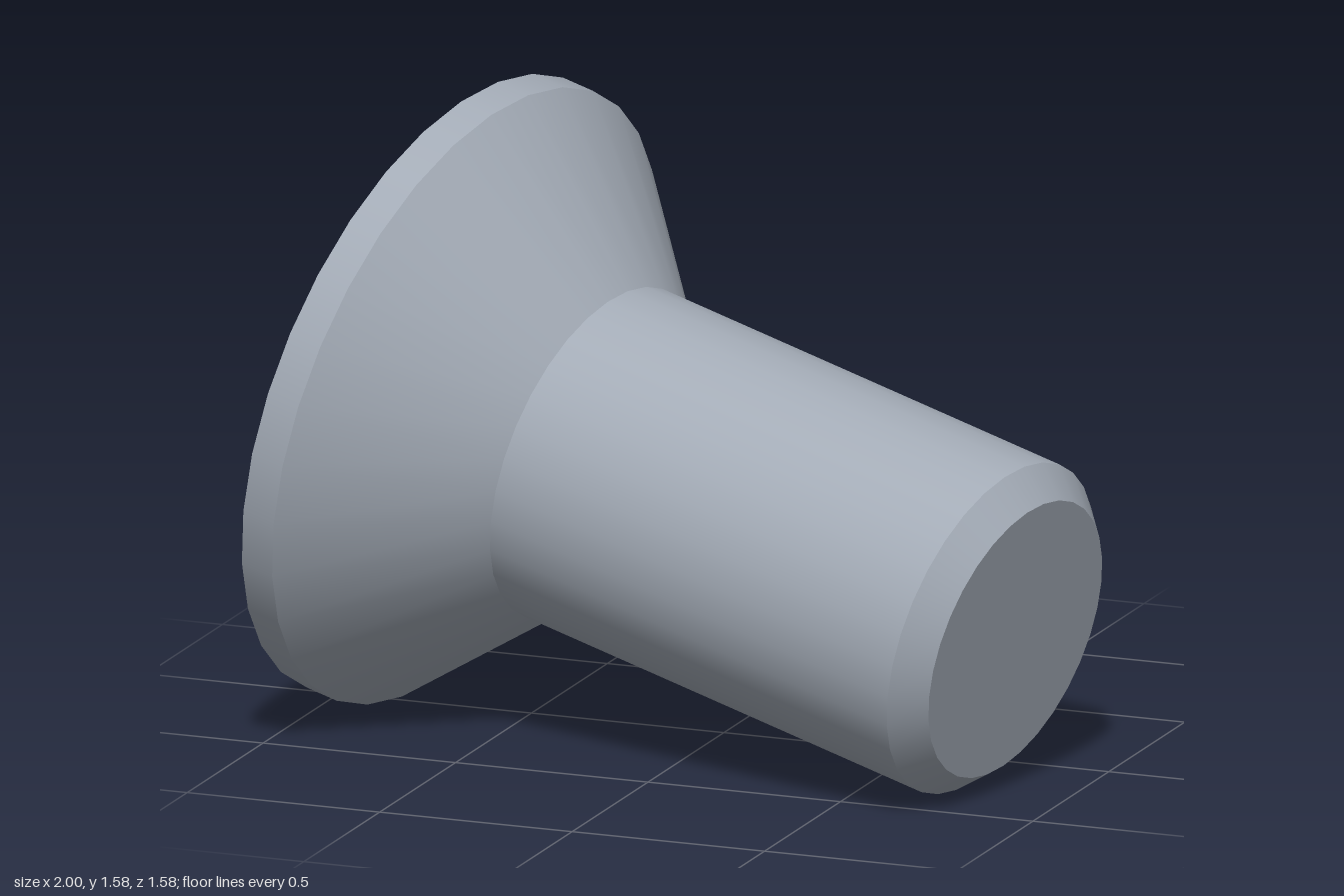
import * as THREE from 'three';

const SEGMENTS = 32;

// Eight-armed recess outline, counter-clockwise: four wide arms and four thin diagonal slits.
// reach: arm length, w: arm half width, q: slit width offset, m: slit reach along x and y
function recessOutline(reach, w, q, m) {
  const quarter = [[reach, -w], [reach, w], [w + q, w], [m + q, m], [m, m + q], [w, w + q]];
  const pts = [];
  for (let k = 0; k < 4; k++) {
    for (const [x, y] of quarter) {
      pts.push(new THREE.Vector2(x, y).rotateAround(new THREE.Vector2(), k * Math.PI / 2));
    }
  }
  return pts;
}

// One band of the turned body, its axis along +z
function band(name, r0, z0, r1, z1, material) {
  const geo = new THREE.LatheGeometry([new THREE.Vector2(r0, z0), new THREE.Vector2(r1, z1)], SEGMENTS);
  geo.rotateX(Math.PI / 2);
  const mesh = new THREE.Mesh(geo, material);
  mesh.name = name;
  return mesh;
}

export function createModel() {
  const steel = new THREE.MeshStandardMaterial({ color: 0xa3abb6 });
  steel.name = 'steel';

  const model = new THREE.Group();
  model.name = 'countersunkScrew';
  const screw = new THREE.Group();
  screw.name = 'screw';
  model.add(screw);

  // Turned bands, kept separate so the edges between them stay sharp
  const bands = [
    ['headRim', 0.8, 0, 0.8, 0.09],
    ['headCone', 0.8, 0.09, 0.43, 0.473],
    ['shaft', 0.43, 0.473, 0.43, 1.654],
    ['tipChamfer', 0.43, 1.654, 0.36, 1.728],
    ['tipFace', 0.36, 1.728, 0, 1.728],
  ];
  for (const b of bands) screw.add(band(...b, steel));

  // Head face with the recess cut out of it
  const top = recessOutline(0.39, 0.145, 0.025, 0.29);
  const bottom = recessOutline(0.14, 0.09, 0.02, 0.12);
  const turn = -0.05;
  const disc = [];
  for (let i = 0; i < SEGMENTS; i++) {
    const a = i / SEGMENTS * Math.PI * 2;
    disc.push(new THREE.Vector2(0.8 * Math.cos(a), 0.8 * Math.sin(a)));
  }
  const shape = new THREE.Shape(disc);
  // The face is flipped to look along -z, so its hole is turned the other way
  const origin = new THREE.Vector2();
  shape.holes.push(new THREE.Path(top.map(p => p.clone().rotateAround(origin, -turn))));
  const face = new THREE.Mesh(new THREE.ShapeGeometry(shape).rotateY(Math.PI), steel);
  face.name = 'headFace';
  screw.add(face);

  // Tapered recess walls and a shallow conical floor
  const depth = 0.33, apex = [0, 0, 0.38];
  const pos = [];
  for (let i = 0; i < top.length; i++) {
    const j = (i + 1) % top.length;
    const p0 = [top[i].x, top[i].y, 0], p1 = [top[j].x, top[j].y, 0];
    const q0 = [bottom[i].x, bottom[i].y, depth], q1 = [bottom[j].x, bottom[j].y, depth];
    pos.push(...p0, ...q0, ...p1, ...p1, ...q0, ...q1, ...q0, ...apex, ...q1);
  }
  const recessGeo = new THREE.BufferGeometry();
  recessGeo.setAttribute('position', new THREE.Float32BufferAttribute(pos, 3));
  recessGeo.computeVertexNormals();
  const recess = new THREE.Mesh(recessGeo, steel);
  recess.name = 'driveRecess';
  recess.rotation.z = turn;
  screw.add(recess);

  // Tilt the screw so its tip points right, down and forward
  const axis = new THREE.Vector3(1, -0.24, 0.212).normalize();
  const up = new THREE.Vector3(0, 1, 0).addScaledVector(axis, -axis.y).normalize();
  const side = new THREE.Vector3().crossVectors(up, axis);
  screw.quaternion.setFromRotationMatrix(new THREE.Matrix4().makeBasis(side, up, axis));
  screw.position.set(-0.755, 0.805, -0.01);
  return model;
}
